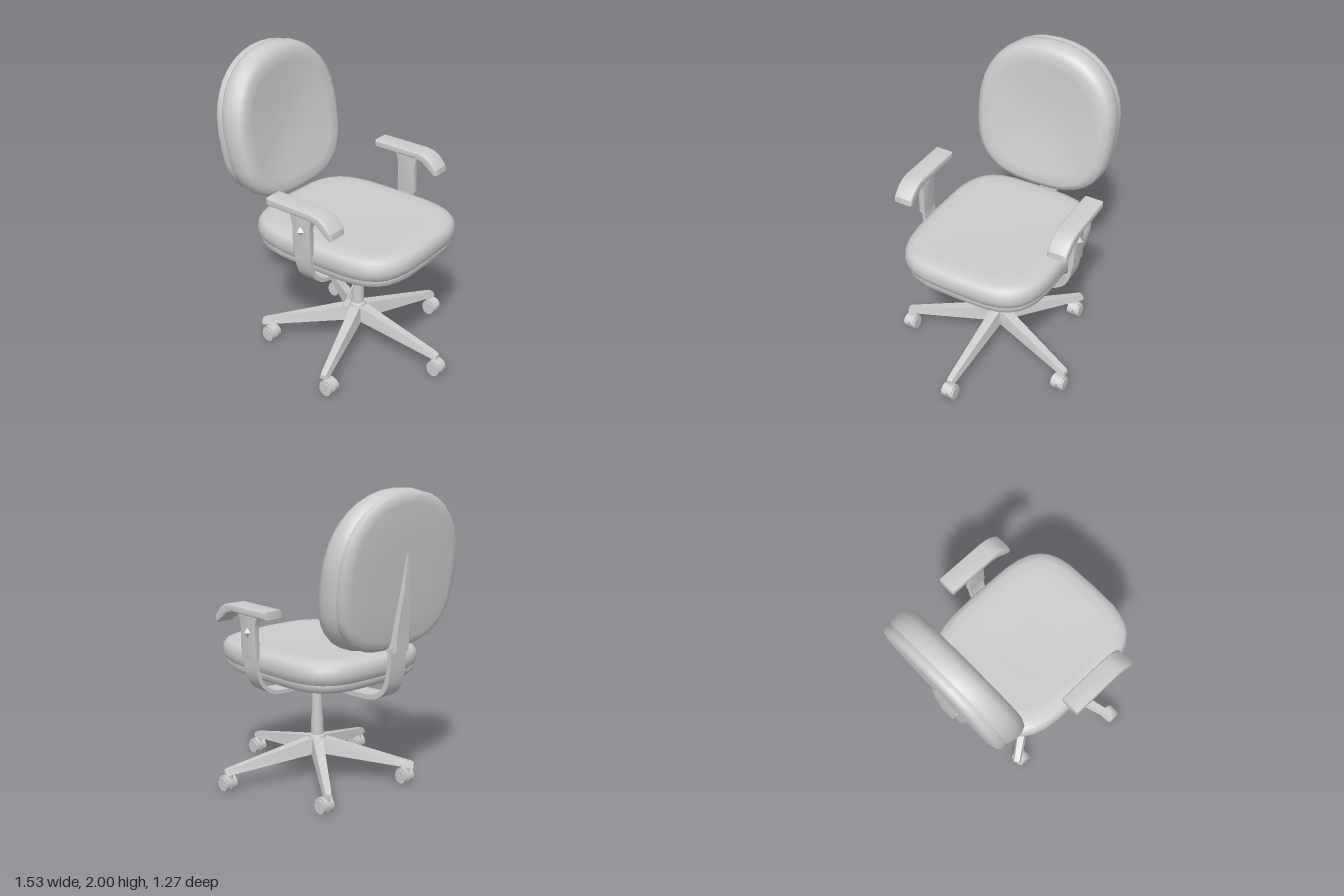
import * as THREE from 'three';
import { mergeVertices, toCreasedNormals } from 'three/addons/utils/BufferGeometryUtils.js';

const material = new THREE.MeshStandardMaterial({ color: 0xcccccc, side: THREE.DoubleSide });
const AXIS_X = 0.06; // column position

function add(parent, name, geometry, x = 0, y = 0, z = 0) {
  const mesh = new THREE.Mesh(geometry, material);
  mesh.name = name;
  mesh.position.set(x, y, z);
  parent.add(mesh);
  return mesh;
}

// Skin closed rings of points; rings run counter-clockwise about the travel direction
function loft(rings, crease = false) {
  const n = rings[0].length;
  const index = [];
  for (let i = 0; i < rings.length - 1; i++) {
    for (let j = 0; j < n; j++) {
      const a = i * n + j, b = i * n + (j + 1) % n;
      index.push(a, b, b + n, a, b + n, a + n);
    }
  }
  let g = new THREE.BufferGeometry();
  g.setAttribute('position', new THREE.Float32BufferAttribute(rings.flat(2), 3));
  g.setIndex(index);
  g = mergeVertices(g);
  if (crease) return toCreasedNormals(g, 0.5);
  g.computeVertexNormals();
  return g;
}

// Unit superellipse sampled as [cos-like, sin-like] pairs
function outline(exponentAt, n = 32) {
  return Array.from({ length: n }, (_, i) => {
    const t = (i / n) * Math.PI * 2, c = Math.cos(t), s = Math.sin(t);
    const e = 2 / exponentAt(c);
    return [Math.sign(c) * Math.abs(c) ** e, Math.sign(s) * Math.abs(s) ** e];
  });
}

// Extrude a 2D outline, centred on its depth
function slab(points, depth, bevel = 0) {
  const shape = new THREE.Shape(points.map(p => new THREE.Vector2(p[0], p[1])));
  const g = new THREE.ExtrudeGeometry(shape, {
    depth: depth - 2 * bevel, bevelEnabled: bevel > 0, bevelSize: bevel,
    bevelThickness: bevel, bevelOffset: -bevel, bevelSegments: 3,
  });
  g.translate(0, 0, -depth / 2 + bevel);
  return toCreasedNormals(g, 0.6);
}

// Flat bent bar: a thickened curve extruded across its width
function bentBar(points, thickness, width) {
  const curve = new THREE.CatmullRomCurve3(points.map(p => new THREE.Vector3(p[0], p[1], 0)), false, 'centripetal');
  const left = [], right = [];
  for (let i = 0; i <= 24; i++) {
    const p = curve.getPoint(i / 24), t = curve.getTangent(i / 24);
    const dx = -t.y * thickness / 2, dy = t.x * thickness / 2;
    left.push([p.x + dx, p.y + dy]);
    right.unshift([p.x - dx, p.y - dy]);
  }
  return slab([...left, ...right], width);
}

function seat() {
  const group = new THREE.Group();
  group.name = 'seat';
  const edge = outline(() => 3.8);
  const build = sections => loft(sections.map(([s, y]) =>
    edge.map(([c, d]) => [0.045 + 0.585 * s * c, y, -0.505 * s * d])));
  add(group, 'seatPan', build([[0, 0.72], [0.43, 0.72], [0.48, 0.735], [0.78, 0.755],
    [0.92, 0.775], [0.97, 0.8], [0.965, 0.83]]));
  add(group, 'seatCushion', build([[0.94, 0.82], [0.975, 0.838], [1, 0.88], [0.99, 0.925],
    [0.955, 0.955], [0.88, 0.97], [0.75, 0.972], [0.4, 0.962], [0, 0.958]]));
  return group;
}

function backrest() {
  const group = new THREE.Group();
  group.name = 'backrest';
  // Round at the top, squarer at the bottom, leaning backwards
  const edge = outline(c => (c > 0 ? 2.2 : 2.2 + 0.7 * Math.min(1, -c * 3)), 36);
  const build = sections => loft(sections.map(([s, off]) => edge.map(([c, d]) => {
    const h = (c > 0 ? 0.5 : 0.485) * s * c;
    return [-0.645 - 0.133 * h + off * (1 - 0.2 * h), 1.5 + h, 0.495 * s * d];
  })));
  add(group, 'backShell', build([[0, -0.075], [0.5, -0.075], [0.85, -0.07], [0.94, -0.058],
    [0.975, -0.035], [0.965, 0.002]]));
  add(group, 'backCushion', build([[0.945, -0.005], [0.98, 0.015], [1, 0.06], [0.995, 0.11],
    [0.96, 0.15], [0.88, 0.17], [0.75, 0.165], [0.4, 0.14], [0, 0.13]]));

  // Tapering bracket on the shell, and the bent bar that carries it
  const bracket = [[1.02, -0.705, -0.635, 0.068], [1.2, -0.715, -0.64, 0.06],
    [1.4, -0.738, -0.65, 0.035], [1.62, -0.745, -0.69, 0.012]];
  const rings = bracket.map(([y, back, front, w]) =>
    [[front, y, w], [front, y, -w], [back, y, -w * 0.8], [back, y, w * 0.8]]);
  const cap = rings[0].map(() => [-0.67, 1.02, 0]);
  add(group, 'backBracket', loft([cap, ...rings], true));
  add(group, 'backBar', bentBar([[-0.1, 0.695], [-0.42, 0.7], [-0.53, 0.715], [-0.61, 0.77],
    [-0.645, 0.86], [-0.665, 1.06]], 0.032, 0.13));
  return group;
}

function arm(side) {
  const group = new THREE.Group();
  group.name = side > 0 ? 'leftArm' : 'rightArm';
  const z = side * 0.555;
  const bar = bentBar([[0.05, 0.69], [0.32, 0.687], [0.42, 0.7], [0.5, 0.755], [0.54, 0.84],
    [0.553, 0.98]].map(([a, b]) => [a * side, b]), 0.025, 0.12);
  bar.rotateY(-Math.PI / 2);
  add(group, 'armBar', bar, AXIS_X);
  add(group, 'armSleeve', slab([[-0.005, 0.935], [0.13, 0.935], [0.13, 1.12], [0.142, 1.18],
    [0.17, 1.225], [-0.045, 1.225], [-0.017, 1.18], [-0.005, 1.12]], 0.042, 0.005), 0, 0, z);
  const knob = new THREE.ConeGeometry(0.035, 0.03, 4).toNonIndexed();
  knob.rotateX(side * Math.PI / 2);
  knob.computeVertexNormals();
  add(group, 'armKnob', knob, AXIS_X, 1.1, z + side * 0.033);
  // Pad with a drooping front end
  add(group, 'armPad', slab([[-0.172, 1.22], [0.16, 1.22], [0.215, 1.205], [0.26, 1.17], [0.315, 1.13],
    [0.335, 1.14], [0.33, 1.18], [0.28, 1.235], [0.235, 1.26], [0.18, 1.27], [-0.172, 1.27]],
  0.132, 0.012), 0, 0, z);
  return group;
}

function mechanism() {
  const group = new THREE.Group();
  group.name = 'mechanism';
  add(group, 'tiltBox', new THREE.BoxGeometry(0.44, 0.04, 0.2), 0.02, 0.69, 0);
  add(group, 'seatPlate', new THREE.BoxGeometry(0.34, 0.02, 0.34), 0.04, 0.715, 0);
  const path = new THREE.CatmullRomCurve3([[0.13, 0.685, 0.06], [0.17, 0.665, 0.12],
    [0.27, 0.618, 0.37], [0.29, 0.612, 0.41]].map(p => new THREE.Vector3(...p)));
  add(group, 'leverRod', new THREE.TubeGeometry(path, 12, 0.007, 6));
  const paddle = new THREE.SphereGeometry(1, 10, 6);
  paddle.scale(0.024, 0.008, 0.06);
  add(group, 'leverPaddle', paddle, 0.305, 0.611, 0.43).rotation.y = 0.45;
  return group;
}

function caster() {
  const group = new THREE.Group();
  group.name = 'caster';
  add(group, 'casterStem', new THREE.CylinderGeometry(0.014, 0.014, 0.08, 8), 0, 0.1, 0);
  const wheel = new THREE.CylinderGeometry(0.046, 0.046, 0.038, 12);
  wheel.rotateX(Math.PI / 2);
  for (const s of [-1, 1]) add(group, 'casterWheel', toCreasedNormals(wheel, 0.7), 0.03, 0.046, s * 0.026);
  const hood = new THREE.CylinderGeometry(0.053, 0.053, 0.07, 10, 1, false, 0, Math.PI);
  hood.rotateX(Math.PI / 2);
  hood.rotateZ(Math.PI / 2 + 0.35);
  add(group, 'casterHood', toCreasedNormals(hood, 0.7), 0.03, 0.052, 0);
  return group;
}

function base() {
  const group = new THREE.Group();
  group.name = 'base';
  // Each section: radius, top, bottom, half width at top and bottom
  const sections = [[0, 0.29, 0.185, 0.034, 0.045], [0.06, 0.287, 0.18, 0.034, 0.045],
    [0.64, 0.155, 0.118, 0.019, 0.03], [0.658, 0.145, 0.118, 0.015, 0.026]];
  const rings = sections.map(([r, top, bottom, a, b]) =>
    [[r, top, -a], [r, top, a], [r, bottom, b], [r, bottom, -b]]);
  rings.push(rings[0].map(() => [0.658, 0.13, 0]));
  const legGeometry = loft(rings, true);
  for (let i = 0; i < 5; i++) {
    const angle = (i / 5) * Math.PI * 2;
    add(group, 'leg', legGeometry, AXIS_X).rotation.y = -angle;
    const wheel = caster();
    wheel.position.set(AXIS_X + 0.62 * Math.cos(angle), 0, 0.62 * Math.sin(angle));
    group.add(wheel);
  }
  // Hub, collar and gas column turned in one profile
  const profile = [[0, 0.185], [0.055, 0.185], [0.06, 0.285], [0.052, 0.305], [0.043, 0.31],
    [0.042, 0.4], [0.035, 0.5], [0.034, 0.69]].map(p => new THREE.Vector2(...p));
  add(group, 'column', toCreasedNormals(new THREE.LatheGeometry(profile, 20), 0.5), AXIS_X);
  return group;
}

export function createModel() {
  const model = new THREE.Group();
  model.name = 'officeChair';
  model.add(seat(), backrest(), arm(1), arm(-1), mechanism(), base());
  return model;
}
